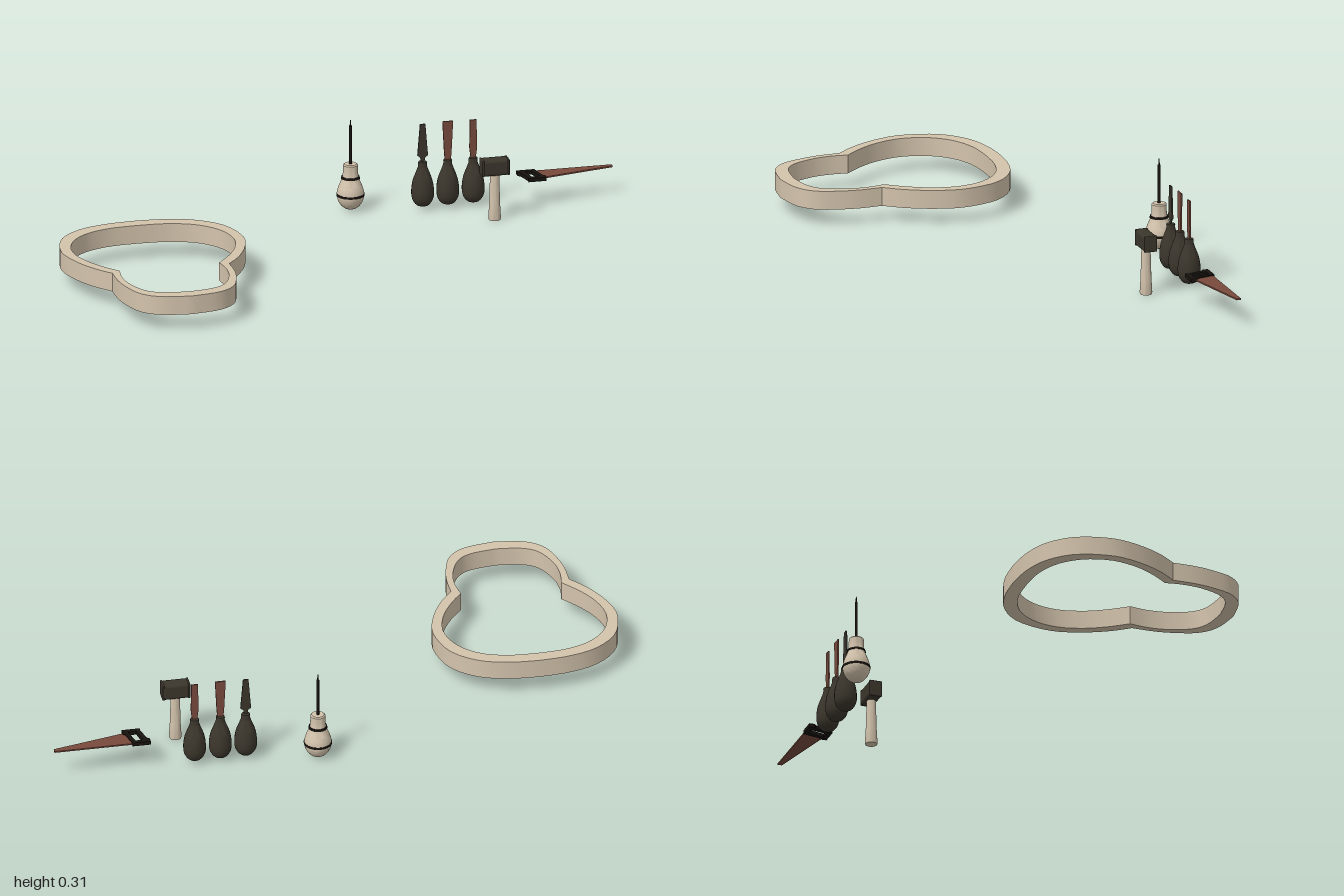
import * as THREE from 'three';
import { toCreasedNormals } from 'three/addons/utils/BufferGeometryUtils.js';
import { RoundedBoxGeometry } from 'three/addons/geometries/RoundedBoxGeometry.js';

const material = (name, color) => {
  const m = new THREE.MeshStandardMaterial({ color });
  m.name = name;
  return m;
};

const v2 = (p) => new THREE.Vector2(p[0], p[1]);

// Smooth body of revolution from [radius, height] points
function lathe(points, sides = 24, smooth = true) {
  const profile = points.map(v2);
  const pts = smooth ? new THREE.SplineCurve(profile).getPoints(24) : profile;
  pts.forEach((p) => { p.x = Math.max(p.x, 0); });
  return toCreasedNormals(new THREE.LatheGeometry(pts, sides), 0.6);
}

// Closed mirrored outline: an upper and a lower lobe meeting at a sharp waist
function lobedOutline(upper, lower) {
  const half = [
    ...new THREE.SplineCurve(upper.map(v2)).getPoints(24),
    ...new THREE.SplineCurve(lower.map(v2)).getPoints(18).slice(1),
  ];
  const mirrored = half.slice(1, -1).reverse().map((p) => new THREE.Vector2(-p.x, p.y));
  return [...half, ...mirrored];
}

// Flat plate with a [x, y] outline, centred on z
function plate(outline, thickness, hole) {
  const shape = new THREE.Shape(outline.map(v2));
  if (hole) shape.holes.push(new THREE.Path(hole.map(v2)));
  const geo = new THREE.ExtrudeGeometry(shape, { depth: thickness, bevelEnabled: false });
  return geo.translate(0, 0, -thickness / 2);
}

export function createModel() {
  const model = new THREE.Group();
  const wood = material('paleWood', 0xd3c3ac);
  const dark = material('darkWood', 0x3b362c);
  const rust = material('rustySteel', 0x784a3d);
  const black = material('blackMetal', 0x17130f);

  const add = (parent, name, geo, mat, x = 0, y = 0, z = 0) => {
    const mesh = new THREE.Mesh(geo, mat);
    mesh.name = name;
    mesh.position.set(x, y, z);
    parent.add(mesh);
    return mesh;
  };
  const group = (name, x, y, z) => {
    const g = new THREE.Group();
    g.name = name;
    g.position.set(x, y, z);
    model.add(g);
    return g;
  };

  // Instrument side wall, standing as a low closed band
  const outer = lobedOutline(
    [[0, -0.238], [0.1, -0.23], [0.2, -0.197], [0.28, -0.12], [0.312, 0], [0.293, 0.1], [0.25, 0.19], [0.2, 0.255]],
    [[0.2, 0.255], [0.2, 0.33], [0.188, 0.4], [0.16, 0.475], [0.1, 0.522], [0, 0.54]]);
  const inner = lobedOutline(
    [[0, -0.19], [0.1, -0.183], [0.19, -0.148], [0.252, -0.08], [0.276, 0.01], [0.258, 0.1], [0.218, 0.175], [0.17, 0.237]],
    [[0.17, 0.237], [0.178, 0.3], [0.17, 0.37], [0.137, 0.445], [0.085, 0.48], [0, 0.493]]);
  const wallShape = new THREE.Shape(outer);
  wallShape.holes.push(new THREE.Path(inner));
  const wall = new THREE.ExtrudeGeometry(wallShape, { depth: 0.064, bevelEnabled: false });
  wall.rotateX(Math.PI / 2);
  add(model, 'sideWall', toCreasedNormals(wall, 0.5), wood, -0.6875, 0.119, 0);

  // Awl with a banded bulbous handle
  const awl = group('awl', 0.117, 0, -0.5);
  add(awl, 'awlHandle', lathe([[0, 0.004], [0.022, 0.009], [0.04, 0.03], [0.046, 0.055], [0.041, 0.08],
    [0.031, 0.105], [0.026, 0.125], [0.025, 0.158]]), wood);
  add(awl, 'awlHandleTop', new THREE.CylinderGeometry(0.021, 0.025, 0.004, 24), wood, 0, 0.16, 0);
  add(awl, 'lowerBand', new THREE.CylinderGeometry(0.047, 0.047, 0.008, 24), black, 0, 0.055, 0);
  add(awl, 'upperBand', new THREE.CylinderGeometry(0.03, 0.032, 0.007, 24), black, 0, 0.115, 0);
  add(awl, 'awlShaft', new THREE.CylinderGeometry(0.005, 0.005, 0.135, 10), black, 0, 0.227, 0);
  add(awl, 'awlPoint', new THREE.CylinderGeometry(0.0015, 0.003, 0.024, 8), black, 0, 0.303, 0);

  // Three carving tools with pear-shaped handles
  const blades = [
    { name: 'spear', x: 0.352, mat: dark, outline: [[-0.005, 0.16], [0.005, 0.16], [0.008, 0.18], [0.018, 0.187], [0.009, 0.297], [-0.009, 0.297], [-0.018, 0.187], [-0.008, 0.18]] },
    { name: 'wide', x: 0.438, mat: rust, outline: [[-0.01, 0.16], [0.01, 0.16], [0.013, 0.2], [0.018, 0.3], [-0.018, 0.3], [-0.013, 0.2]] },
    { name: 'narrow', x: 0.525, mat: rust, outline: [[-0.008, 0.16], [0.008, 0.16], [0.013, 0.2], [0.011, 0.298], [-0.011, 0.298], [-0.013, 0.2]] },
  ];
  for (const { name, x, mat, outline } of blades) {
    const tool = group(`${name}Chisel`, x, 0, -0.453);
    add(tool, 'handle', lathe([[0, 0.01], [0.02, 0.014], [0.035, 0.035], [0.038, 0.065], [0.033, 0.1],
      [0.022, 0.13], [0.015, 0.15], [0.014, 0.165], [0, 0.166]], 20), dark);
    add(tool, 'blade', plate(outline, 0.005), mat);
  }

  // Mallet
  const mallet = group('mallet', 0.557, 0, -0.288);
  add(mallet, 'malletHandle', lathe([[0, 0.001], [0.02, 0.001], [0.021, 0.008], [0.018, 0.06], [0.017, 0.1],
    [0.015, 0.17]], 20, false), wood);
  add(mallet, 'malletHead', new RoundedBoxGeometry(0.093, 0.057, 0.046, 3, 0.011), dark, 0, 0.187, 0);
  // Straight striking faces close the rounded ends of the head
  for (const side of [-1, 1]) {
    add(mallet, 'strikingFace', new RoundedBoxGeometry(0.008, 0.056, 0.045, 2, 0.003), dark, side * 0.043, 0.187, 0);
  }

  // Hand saw lying flat; outlines are [x, -z]
  const saw = group('saw', 0, 0.096, 0);
  const blade = add(saw, 'sawBlade', plate(
    [[0.74, 0.395], [0.76, 0.39], [1, 0.443], [1, 0.458], [0.735, 0.459]], 0.005), rust);
  const grip = add(saw, 'sawGrip', plate(
    [[0.695, 0.374], [0.757, 0.374], [0.757, 0.398], [0.75, 0.4], [0.736, 0.463], [0.675, 0.463], [0.675, 0.444], [0.684, 0.437], [0.696, 0.388]],
    0.013,
    [[0.71, 0.39], [0.699, 0.448], [0.724, 0.448], [0.738, 0.39]]), black);
  for (const part of [blade, grip]) part.rotation.x = -Math.PI / 2;

  return model;
}
